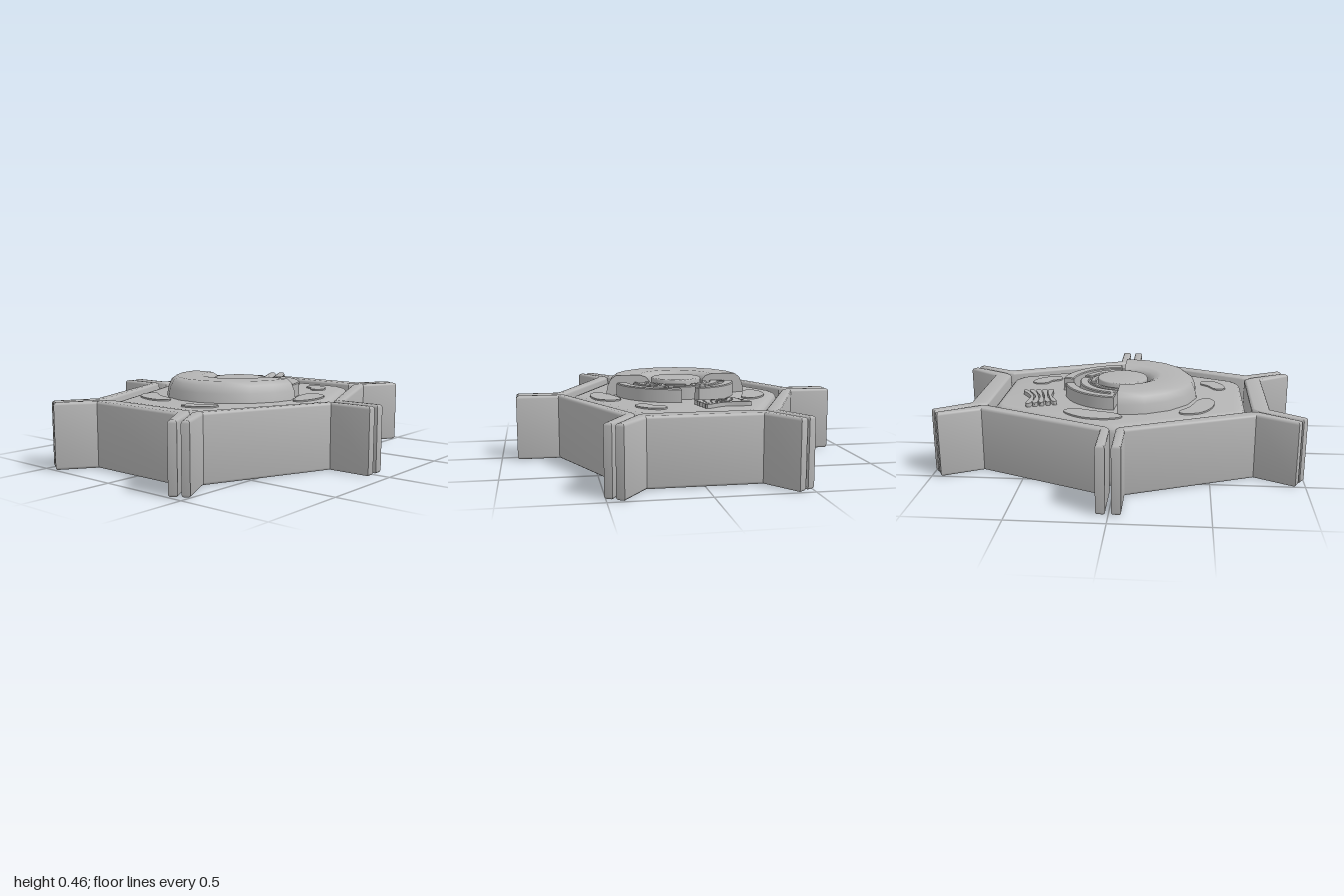
import * as THREE from 'three';
import { toCreasedNormals } from 'three/addons/utils/BufferGeometryUtils.js';

const grey = new THREE.MeshStandardMaterial({ color: 0xb4b4b4 });
grey.name = 'plain grey';

// Floor-plan points [x, z] become shape points [x, -z]
const plan = (pts) => pts.map(([x, z]) => new THREE.Vector2(x, -z));

// Upright prism from a floor plan between y0 and y1, with bevelled rims kept inside the outline
function prism(name, shape, y0, y1, bevel, smooth = true, steps = 3) {
  let g = new THREE.ExtrudeGeometry(shape, {
    depth: y1 - y0 - 2 * bevel, bevelEnabled: bevel > 0, bevelSize: bevel, bevelOffset: -bevel,
    bevelThickness: bevel, bevelSegments: steps, curveSegments: 24,
  });
  g.rotateX(-Math.PI / 2);
  g.translate(0, y0 + bevel, 0);
  if (smooth) g = toCreasedNormals(g, 0.6);
  const mesh = new THREE.Mesh(g, grey);
  mesh.name = name;
  return mesh;
}

// Closed smooth outline through a few points
function blobShape(pts) {
  const curve = new THREE.CatmullRomCurve3(pts.map(([x, z]) => new THREE.Vector3(x, -z, 0)), true);
  return new THREE.Shape(curve.getPoints(40).slice(0, -1).map((p) => new THREE.Vector2(p.x, p.y)));
}

// Ring sector, angles in degrees from +x towards the back
function arcShape(r0, r1, a0, a1) {
  const s = new THREE.Shape();
  const a = THREE.MathUtils.degToRad(a0), b = THREE.MathUtils.degToRad(a1);
  s.absarc(0, 0, r1, a, b, false);
  s.absarc(0, 0, r0, b, a, true);
  return s;
}

export function createModel() {
  const root = new THREE.Group();
  root.name = 'plantCell';
  const bodyTop = 0.345, wallTop = 0.36;

  // Cell walls: bent strips with arms that meet the neighbouring strips
  const walls = new THREE.Group();
  walls.name = 'cellWalls';
  const endWall = [[-0.418, -1], [-0.29, -0.818], [0.29, -0.818], [0.418, -1], [0.455, -0.975],
    [0.335, -0.76], [0.295, -0.72], [-0.295, -0.72], [-0.335, -0.76], [-0.455, -0.975]];
  const sideWall = [[-0.912, -0.063], [-0.68, -0.063], [-0.395, -0.735], [-0.507, -0.945], [-0.47, -0.965],
    [-0.335, -0.755], [-0.33, -0.71], [-0.635, -0.03], [-0.66, -0.015], [-0.912, -0.015]];
  const flip = (pts, sx, sz) => pts.map(([x, z]) => [x * sx, z * sz]);
  for (const sz of [1, -1]) {
    walls.add(prism(sz > 0 ? 'backWall' : 'frontWall', new THREE.Shape(plan(flip(endWall, 1, sz))), 0, wallTop, 0.015));
    for (const sx of [1, -1]) {
      walls.add(prism('sideWall', new THREE.Shape(plan(flip(sideWall, sx, sz))), 0, wallTop, 0.015));
    }
  }
  root.add(walls);

  // Cell body: long hexagon with cut corners
  const corner = [[0.255, 0.692], [0.325, 0.65], [0.595, 0.04]];
  const outline = [
    ...corner, ...flip(corner, 1, -1).reverse(),
    ...flip(corner, -1, -1), ...flip(corner, -1, 1).reverse(),
  ];
  root.add(prism('cellBody', new THREE.Shape(plan(outline)), 0.005, bodyTop, 0.04));

  // Nucleus: domed half ring, closed at its two cut ends
  const profile = [[0.155, 0.33], [0.155, 0.42], [0.175, 0.445], [0.21, 0.457], [0.35, 0.457],
    [0.38, 0.435], [0.398, 0.395], [0.41, 0.33]].map(([r, y]) => new THREE.Vector2(r, y));
  const nucleus = new THREE.Group();
  nucleus.name = 'nucleus';
  const dome = new THREE.Mesh(
    new THREE.LatheGeometry(profile.slice().reverse(), 9, -Math.PI / 2, Math.PI), grey);
  dome.name = 'nucleusDome';
  nucleus.add(dome);
  for (const side of [0, 1]) {
    const pts = profile.map((p) => new THREE.Vector2(side ? -p.x : p.x, p.y));
    const cap = new THREE.Mesh(new THREE.ShapeGeometry(new THREE.Shape(pts)).rotateY(Math.PI), grey);
    cap.name = 'nucleusCutFace';
    nucleus.add(cap);
  }
  nucleus.scale.z = 1.06;
  // Lathe faces must look outward whichever way the profile runs
  const pos = dome.geometry.attributes.position, idx = dome.geometry.index;
  const v = [0, 1, 2].map((i) => new THREE.Vector3().fromBufferAttribute(pos, idx.getX(i)));
  const n = v[1].clone().sub(v[0]).cross(v[2].clone().sub(v[0]));
  if (n.dot(new THREE.Vector3(v[0].x, 0, v[0].z)) < 0) {
    for (let i = 0; i < idx.count; i += 3) {
      const t = idx.getX(i);
      idx.setX(i, idx.getX(i + 1));
      idx.setX(i + 1, t);
    }
    dome.geometry.computeVertexNormals();
  }
  root.add(nucleus);

  // Nucleolus: round disc in the middle
  const disc = new THREE.Shape();
  disc.absarc(0, 0, 0.143, 0, Math.PI * 2);
  root.add(prism('nucleolus', disc, 0.33, 0.443, 0.008));

  // Folded membrane: concentric arcs behind the nucleus, joined by short links
  const folds = new THREE.Group();
  folds.name = 'foldedMembrane';
  const arcs = [[0.275, 0.33, 102, 176], [0.288, 0.35, 5, 85], [0.2, 0.25, 5, 68], [0.195, 0.245, 76, 176],
    [0.153, 0.185, 5, 100], [0.153, 0.18, 112, 176], [0.18, 0.2, 108, 117], [0.18, 0.205, 55, 62],
    [0.24, 0.28, 168, 176]];
  for (const a of arcs) folds.add(prism('membraneFold', arcShape(...a), 0.33, 0.42, 0.005, true, 1));
  root.add(folds);

  // Stacked sacs: five curved strips, narrower in the middle
  const sacs = new THREE.Group();
  sacs.name = 'stackedSacs';
  for (let i = 0; i < 5; i++) {
    const l = [-0.305 + 0.0125 * i, -0.497 + 0.0345 * i];
    const m = [-0.175 + 0.004 * i, -0.497 + 0.025 * i];
    const r = [-0.062 + 0.0065 * i, -0.556 + 0.036 * i];
    const e = 0.013, c = 0.008;
    sacs.add(prism('sac', blobShape([
      [l[0], l[1] - e], [m[0], m[1] - c], [r[0], r[1] - e], [r[0] + 0.01, r[1]],
      [r[0], r[1] + e], [m[0], m[1] + c], [l[0], l[1] + e], [l[0] - 0.01, l[1]],
    ]), 0.335, 0.367, 0));
  }
  root.add(sacs);

  // Flat bean-shaped bodies scattered over the top
  const beans = [
    [[-0.38, -0.29], [-0.333, -0.25], [-0.365, -0.13], [-0.407, 0], [-0.455, 0.03], [-0.492, -0.04], [-0.476, -0.185]],
    [[0.345, -0.205], [0.39, -0.238], [0.465, -0.195], [0.5, -0.07], [0.48, 0.052], [0.44, 0.063], [0.375, -0.053]],
    [[0.138, -0.52], [0.165, -0.555], [0.222, -0.545], [0.29, -0.465], [0.285, -0.4], [0.233, -0.395], [0.2, -0.445], [0.153, -0.466]],
    [[-0.376, 0.344], [-0.344, 0.328], [-0.26, 0.386], [-0.116, 0.444], [-0.095, 0.492], [-0.153, 0.524], [-0.286, 0.497], [-0.365, 0.43]],
    [[0.1, 0.53], [0.158, 0.497], [0.2, 0.455], [0.254, 0.465], [0.26, 0.52], [0.2, 0.577], [0.111, 0.593], [0.09, 0.56]],
  ];
  for (const b of beans) root.add(prism('flatBean', blobShape(b), 0.335, 0.353, 0));

  return root;
}
